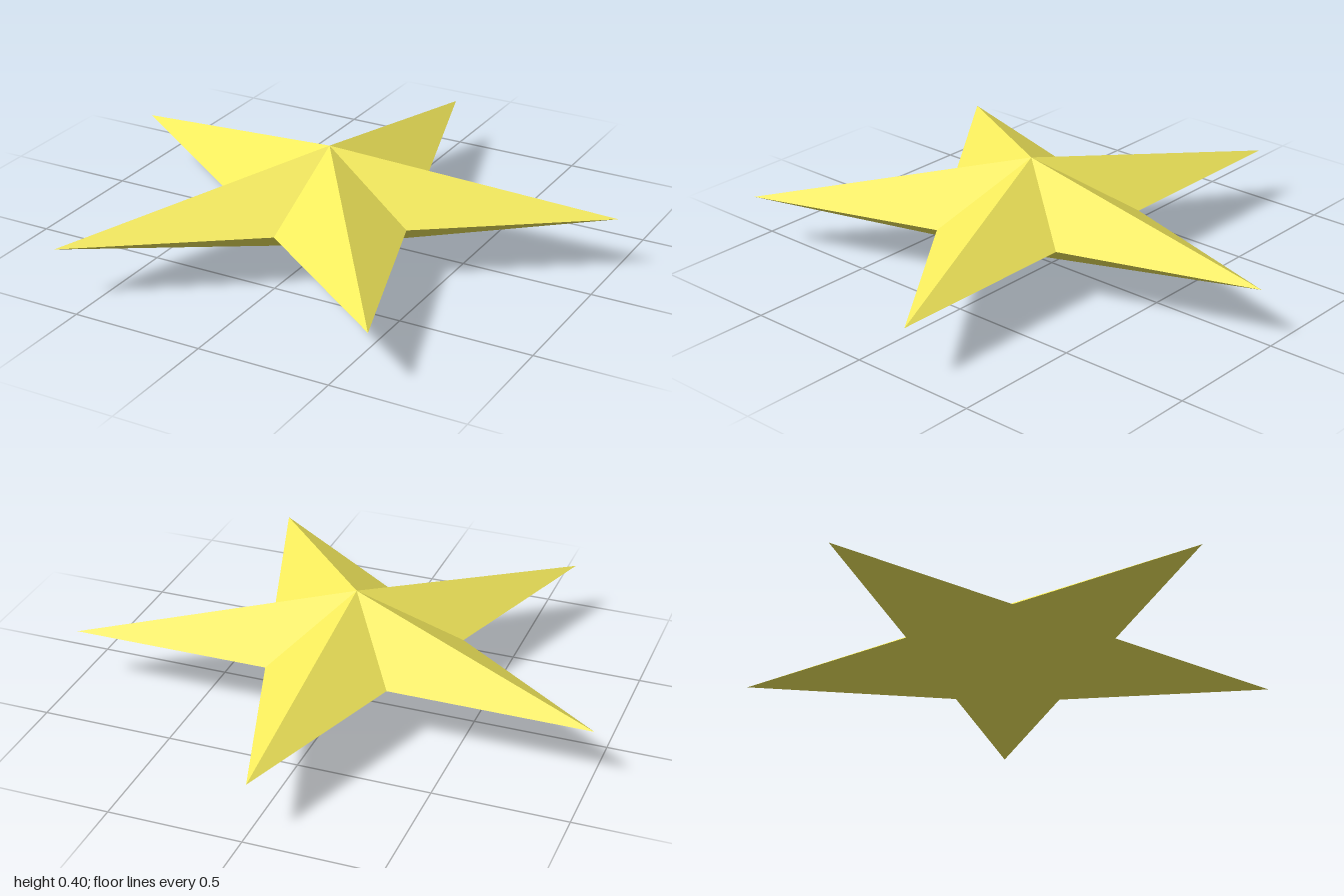
import * as THREE from 'three';

const TIP = 1.0515, NOTCH = 0.4;        // outer and inner radii
const MID = 0.2, HEIGHT = 0.4, CZ = 0.1; // rim height, apex height, centre offset

// Rim corner i: even corners are tips, odd ones are notches
function rim(i) {
  const a = (i * Math.PI) / 5;
  const r = i % 2 === 0 ? TIP : NOTCH;
  return [r * Math.sin(a), MID, CZ - r * Math.cos(a)];
}

// Ten facets fanned from one apex to the rim
function facets(apexY, up) {
  const apex = [0, apexY, CZ];
  const pos = [];
  for (let i = 0; i < 10; i++) {
    const a = rim(i), b = rim((i + 1) % 10);
    pos.push(...apex, ...(up ? b : a), ...(up ? a : b));
  }
  const geo = new THREE.BufferGeometry();
  geo.setAttribute('position', new THREE.Float32BufferAttribute(pos, 3));
  geo.computeVertexNormals();
  return geo;
}

export function createModel() {
  const group = new THREE.Group();
  group.name = 'star';
  const material = new THREE.MeshStandardMaterial({ color: 0xf4ea5c, flatShading: true });

  // Upper and lower faceted halves meet along the rim
  const upper = new THREE.Mesh(facets(HEIGHT, true), material);
  upper.name = 'upperFacets';
  const lower = new THREE.Mesh(facets(0, false), material);
  lower.name = 'lowerFacets';

  group.add(upper, lower);
  return group;
}
